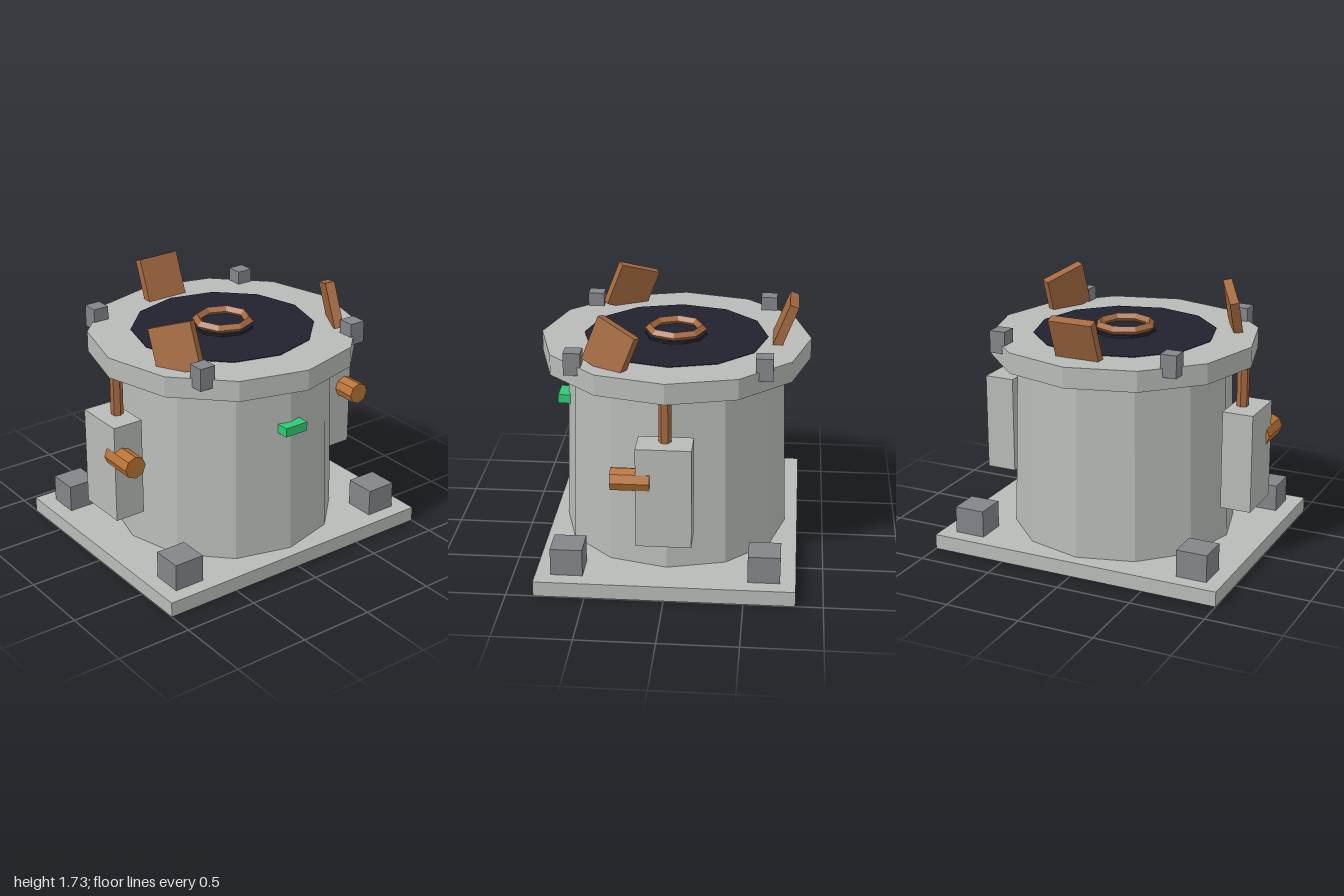
import * as THREE from 'three';

const mat = (name, color) => {
  const m = new THREE.MeshStandardMaterial({ color, flatShading: true });
  m.name = name;
  return m;
};

export function createModel() {
  const group = new THREE.Group();
  const concrete = mat('concrete', 0xb8bbb8);
  const steel = mat('steel', 0x83858a);
  const copper = mat('copper', 0xb87333);
  const bronze = mat('bronze', 0xa56a40);
  const dark = mat('darkGlass', 0x22222e);
  const green = mat('greenLight', 0x2ecc71);

  const add = (name, geometry, material, x, y, z) => {
    const mesh = new THREE.Mesh(geometry, material);
    mesh.name = name;
    mesh.position.set(x, y, z);
    group.add(mesh);
    return mesh;
  };
  const box = (w, h, d) => new THREE.BoxGeometry(w, h, d);
  const cyl = (top, bottom, h, sides) => new THREE.CylinderGeometry(top, bottom, h, sides);

  // Base, tapered drum and overhanging rim
  add('base', box(2, 0.1, 1.65), concrete, 0, 0.05, 0);
  add('drum', cyl(0.707, 0.742, 1.19, 12), concrete, 0, 0.695, 0);
  add('rim', cyl(0.88, 0.88, 0.135, 12), concrete, 0, 1.3475, 0);

  // Dark top opening with a collar and a ring of diamond section
  add('topDisc', cyl(0.6, 0.6, 0.008, 12), dark, 0, 1.415, 0);
  add('collar', cyl(0.2, 0.2, 0.03, 10), dark, 0, 1.42, 0);
  add('ring', new THREE.TorusGeometry(0.172, 0.03, 4, 8), bronze, 0, 1.458, 0).rotation.x = Math.PI / 2;

  // Corner feet and rim clamps
  for (const sx of [-1, 1]) {
    for (const sz of [-1, 1]) {
      add('cornerFoot', box(0.205, 0.18, 0.205), steel, sx * 0.795, 0.19, sz * 0.624);
      add('rimClamp', box(0.108, 0.145, 0.108), steel, sx * 0.59, 1.432, sz * 0.593);
    }
  }

  // Side housings, each with a vertical rod and a forward knob
  for (const s of [-1, 1]) {
    add('sideHousing', box(0.205, 0.655, 0.345), concrete, s * 0.863, 0.6925, 0);
    add('rod', cyl(0.04, 0.04, 0.3, 6), bronze, s * 0.83, 1.15, 0);
    add('knob', cyl(0.074, 0.074, 0.245, 8), copper, s * 0.914, 0.797, 0.207).rotation.x = Math.PI / 2;
  }

  // Three upright panels around the opening, all leaning backward
  for (let i = 0; i < 3; i++) {
    const a = Math.PI + (i * Math.PI * 2) / 3;
    const panel = add('panel', box(0.295, 0.3, 0.06), bronze, Math.sin(a) * 0.71, 1.535, Math.cos(a) * 0.71);
    panel.rotation.set(-0.37, i === 0 ? 0 : a, 0);
  }

  // Status light on the front
  add('statusLight', box(0.168, 0.06, 0.1), green, 0, 0.97, 0.727);

  return group;
}
